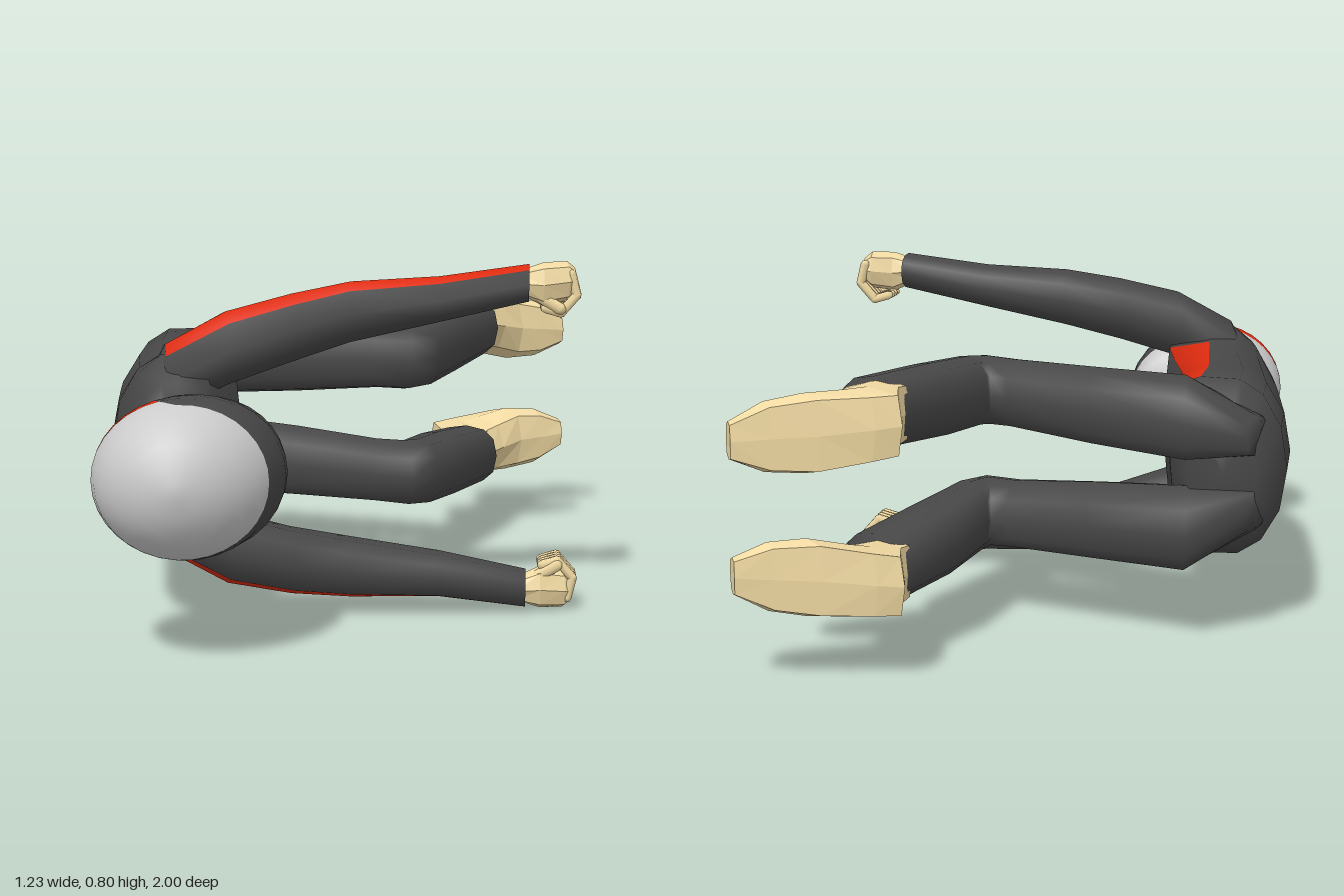
import * as THREE from 'three';

const COLORS = { suit: 0x484848, red: 0xe02c10, skin: 0xf0d9a2, shell: 0xcccccc };
const MID = 0.387; // height of the body's plane of symmetry
const ARM_MID = 0.4;

function material(color, flat = false) {
  return new THREE.MeshStandardMaterial({ color: COLORS[color], flatShading: flat, side: THREE.DoubleSide });
}

// Loft through sections [backX, backZ, frontX, frontZ, s0, s1]; s is the sideways offset from the
// symmetry plane. Angle 0 faces "front", 90 degrees faces s1; a lower power gives a boxier section.
// paint(i, j) names the part a face belongs to; parts maps part names to colours.
function loft(sections, { n = 12, power = 0.85, frontPower = power, side = 1, mid = MID, flat = false, angle, paint, parts }) {
  const pos = [];
  sections.forEach(([ax, az, bx, bz, s0, s1], i) => {
    for (let j = 0; j < n; j++) {
      const t = THREE.MathUtils.degToRad(angle ? angle(i, j) : (j / n) * 360);
      const p = Math.cos(t) > 0 ? frontPower : power;
      const bend = (v) => (Math.sign(v) * Math.pow(Math.abs(v), p)) / 2;
      const c = bend(Math.cos(t)), s = bend(Math.sin(t));
      pos.push((ax + bx) / 2 + (bx - ax) * c, mid + side * ((s0 + s1) / 2 + (s1 - s0) * s), (az + bz) / 2 + (bz - az) * c);
    }
  });
  const names = Object.keys(parts);
  const faces = Object.fromEntries(names.map((k) => [k, []]));
  const last = sections.length - 1;
  for (let i = 0; i < last; i++) {
    for (let j = 0; j < n; j++) {
      const a = i * n + j, b = i * n + (j + 1) % n;
      faces[paint ? paint(i, j) : names[0]].push(a, b, a + n, b, b + n, a + n);
    }
  }
  // end caps
  for (const i of [0, last]) {
    const [ax, az, bx, bz, s0, s1] = sections[i];
    const centre = pos.length / 3;
    pos.push((ax + bx) / 2, mid + side * (s0 + s1) / 2, (az + bz) / 2);
    for (let j = 0; j < n; j++) {
      const a = i * n + j, b = i * n + (j + 1) % n;
      faces[names[0]].push(...(i ? [a, b, centre] : [b, a, centre]));
    }
  }
  // turn all faces outward if the enclosed volume is negative
  const all = names.flatMap((k) => faces[k]);
  const at = (k) => new THREE.Vector3().fromArray(pos, k * 3);
  let volume = 0;
  for (let k = 0; k < all.length; k += 3) volume += at(all[k]).dot(at(all[k + 1]).cross(at(all[k + 2])));
  const orient = (list) => (volume < 0 ? [...list].reverse() : list);
  const whole = new THREE.BufferGeometry();
  whole.setAttribute('position', new THREE.Float32BufferAttribute(pos, 3));
  whole.setIndex(orient(all));
  whole.computeVertexNormals();
  const group = new THREE.Group();
  for (const k of names) {
    const geo = new THREE.BufferGeometry();
    geo.setAttribute('position', whole.attributes.position);
    geo.setAttribute('normal', whole.attributes.normal);
    geo.setIndex(orient(faces[k]));
    const mesh = new THREE.Mesh(geo, material(parts[k], flat));
    mesh.name = k;
    group.add(mesh);
  }
  return group;
}

// Rounded finger segment between two points
function segment(p, q, r) {
  const d = q.clone().sub(p);
  const mesh = new THREE.Mesh(new THREE.CapsuleGeometry(r, d.length(), 2, 6), material('skin'));
  mesh.position.copy(p).add(q).multiplyScalar(0.5);
  mesh.quaternion.setFromUnitVectors(new THREE.Vector3(0, 1, 0), d.normalize());
  return mesh;
}

// Boxy chest and belly, rounded back
function createTorso() {
  const rows = [
    [-0.585, -0.08, -0.46, -0.17, 0.13], [-0.618, 0, -0.37, -0.1, 0.205], [-0.53, 0.18, -0.28, 0.07, 0.195],
    [-0.44, 0.33, -0.18, 0.2, 0.195], [-0.36, 0.46, -0.08, 0.34, 0.2], [-0.31, 0.53, -0.05, 0.43, 0.215],
    [-0.25, 0.59, -0.05, 0.49, 0.22], [-0.19, 0.645, -0.04, 0.55, 0.16], [-0.13, 0.72, -0.05, 0.61, 0.105],
  ].map(([ax, az, bx, bz, s]) => [ax, az, bx, bz, -s, s]);
  // the side stripes widen towards the chest
  const columns = (i) => {
    const half = [0, 48, Math.min(89.5, 81 + 2.5 * i), 100, 125, 152, 180];
    return [...half, ...half.slice(1, 6).reverse().map((a) => 360 - a)];
  };
  return loft(rows, {
    power: 1, frontPower: 0.32,
    angle: (i, j) => columns(i)[j],
    paint: (i, j) => (i >= 1 && i <= 3 && (j === 1 || j === 10) ? 'sideStripes' : 'jacket'),
    parts: { jacket: 'suit', sideStripes: 'red' },
  });
}

function createHelmet() {
  // head frame: f forward, u up, tilted by 30 degrees
  const place = (f, u) => [0.04 + 0.866 * f + 0.5 * u, 0.82 - 0.5 * f + 0.866 * u];
  const R = 0.178;
  const rows = [0.177, 0.168, 0.15, 0.125, 0.095, 0.06, 0.025].map((u) => {
    const r = Math.sqrt(R * R - u * u);
    return [u, -r, r * (1 + 0.2 * (1 - u / R)), r * 0.96];
  });
  rows.push([-0.018, -0.177, 0.226, 0.17], [-0.06, -0.163, 0.23, 0.167], [-0.13, -0.11, 0.228, 0.153], [-0.195, -0.01, 0.215, 0.115]);
  const sections = rows.map(([u, back, front, w]) => [...place(back, u), ...place(front, u), -w, w]);
  // the ninth column on each side follows the curved edge of the visor
  const edge = [98, 98, 98, 98, 96, 93, 105, 111, 113, 103, 100];
  const spread = (i, j) => (j <= 9 ? (j / 9) * edge[i] : edge[i] + ((j - 9) / 7) * (180 - edge[i]));
  return loft(sections, {
    n: 32, power: 1,
    angle: (i, j) => (j <= 16 ? spread(i, j) : 360 - spread(i, 32 - j)),
    paint: (i, j) => {
      if (i >= 5 && i <= 8 && (j < 9 || j >= 23)) return 'visor';
      return i === 6 ? 'helmetBand' : 'helmetShell';
    },
    parts: { helmetShell: 'shell', visor: 'suit', helmetBand: 'red' },
  });
}

function createArm(side) {
  const columns = [0, 45, 88, 118, 148, 180, 216, 252, 288, 324];
  const rows = [
    [-0.27, 0.46, -0.19, 0.56, 0.03, 0.15], [-0.235, 0.43, -0.13, 0.585, 0.08, 0.235], [-0.12, 0.37, -0.005, 0.52, 0.145, 0.308],
    [0, 0.28, 0.1, 0.42, 0.19, 0.342], [0.12, 0.19, 0.19, 0.33, 0.225, 0.362], [0.3, 0.09, 0.36, 0.23, 0.265, 0.368],
    [0.48, 0, 0.53, 0.12, 0.31, 0.395],
  ];
  // both shoulders sit slightly lower than the hands
  const drop = [0.012, 0.012, 0.012, 0.01, 0.005, 0, 0];
  return loft(rows.map(([ax, az, bx, bz, s0, s1], i) => [ax, az, bx, bz, s0 - side * drop[i], s1 - side * drop[i]]), {
    n: 10, side, mid: ARM_MID,
    angle: (i, j) => columns[j],
    paint: (i, j) => (i >= 1 && j === 1 ? 'sleeveStripe' : 'sleeve'),
    parts: { sleeve: 'suit', sleeveStripe: 'red' },
  });
}

function createHand(side) {
  const hand = loft([
    [0.47, 0.03, 0.5, 0.105, 0.325, 0.38], [0.515, 0.005, 0.55, 0.08, 0.3, 0.398], [0.55, -0.035, 0.595, 0.04, 0.31, 0.4],
    [0.57, -0.042, 0.605, 0.025, 0.33, 0.385],
  ], { n: 8, side, mid: ARM_MID, flat: true, parts: { palm: 'skin' } });
  const point = (x, s, z) => new THREE.Vector3(x, ARM_MID + side * s, z);
  // four fingers curled inward
  for (let k = 0; k < 4; k++) {
    const x = 0.566 + 0.009 * k, z = -0.036 + 0.02 * k;
    const joints = [point(x, 0.372, z), point(x + 0.011, 0.325, z - 0.004), point(x - 0.02, 0.285, z + 0.012), point(x - 0.05, 0.295, z + 0.03)];
    for (let m = 0; m < 3; m++) {
      const f = segment(joints[m], joints[m + 1], 0.0115);
      f.name = 'finger';
      hand.add(f);
    }
  }
  const thumb = segment(point(0.535, 0.32, 0.06), point(0.575, 0.295, 0.045), 0.014);
  thumb.name = 'thumb';
  hand.add(thumb);
  return hand;
}

function createLeg(side) {
  return loft([
    [-0.58, -0.12, -0.58, -0.03, 0.04, 0.13], [-0.49, -0.24, -0.4, -0.08, 0.03, 0.222], [-0.25, -0.262, -0.2, -0.107, 0.045, 0.222],
    [-0.04, -0.28, 0.02, -0.127, 0.065, 0.222], [0, -0.285, 0.125, -0.135, 0.065, 0.225], [-0.005, -0.3, 0.157, -0.22, 0.068, 0.23],
    [-0.045, -0.46, 0.135, -0.44, 0.078, 0.243], [-0.068, -0.68, 0.108, -0.69, 0.095, 0.25], [-0.06, -0.695, 0.1, -0.705, 0.105, 0.24],
  ], { side, power: 0.8, parts: { trouserLeg: 'suit' } });
}

// Flat sole, rounded instep
function createFoot(side) {
  return loft([
    [-0.06, -0.66, 0.08, -0.67, 0.11, 0.24], [-0.07, -0.7, 0.078, -0.72, 0.105, 0.245], [-0.13, -0.775, 0.072, -0.755, 0.1, 0.245],
    [-0.09, -0.815, 0.082, -0.8, 0.09, 0.243], [0, -0.885, 0.105, -0.87, 0.07, 0.24], [0.08, -0.945, 0.145, -0.92, 0.075, 0.225],
    [0.145, -0.998, 0.185, -0.968, 0.105, 0.185],
  ], { n: 8, power: 0.35, frontPower: 0.75, side, flat: true, parts: { foot: 'skin' } });
}

export function createModel() {
  const model = new THREE.Group();
  const add = (name, part) => {
    part.name = name;
    model.add(part);
  };
  add('torso', createTorso());
  add('neck', loft([
    [-0.11, 0.63, -0.01, 0.53, -0.075, 0.075], [-0.06, 0.73, 0.03, 0.65, -0.075, 0.075],
  ], { power: 1, parts: { neckSkin: 'skin' } }));
  add('helmet', createHelmet());
  for (const [side, label] of [[1, 'upper'], [-1, 'lower']]) {
    add(label + 'Arm', createArm(side));
    add(label + 'Hand', createHand(side));
    add(label + 'Leg', createLeg(side));
    add(label + 'Foot', createFoot(side));
  }
  return model;
}
